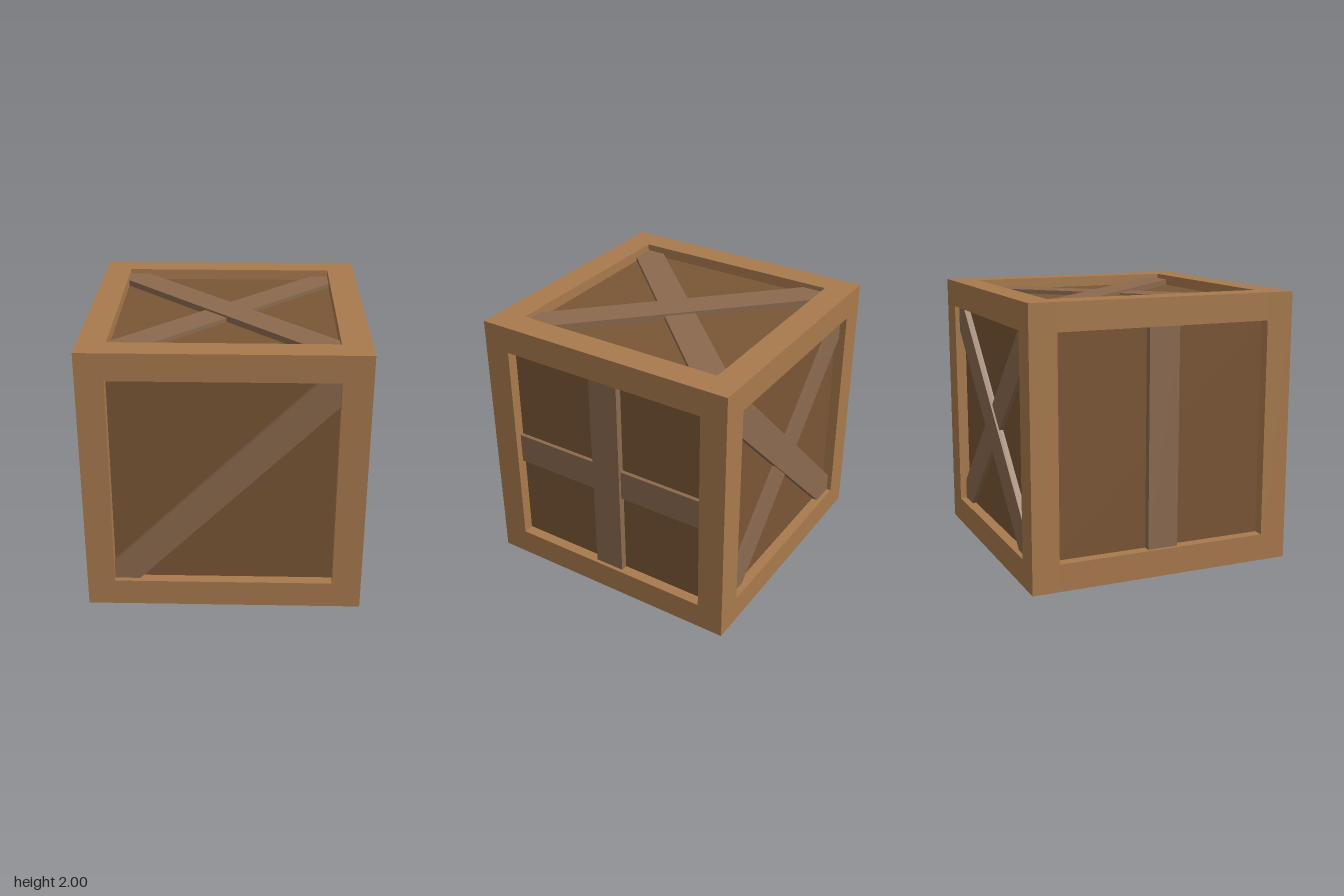
import * as THREE from 'three';

const frameMat = new THREE.MeshStandardMaterial({ color: 0xa87a4d });
const panelMat = new THREE.MeshStandardMaterial({ color: 0x7a5635 });
const braceMat = new THREE.MeshStandardMaterial({ color: 0x8b6a4f });

// Inner edges of the frame openings, and how far the panels are set back
const LOW = -0.8, HIGH_X = 0.79, HIGH = 0.8, RECESS = 0.08;

// Box given by its minimum and maximum on each axis
function boxBetween(name, [x0, x1], [y0, y1], [z0, z1], mat) {
  const mesh = new THREE.Mesh(new THREE.BoxGeometry(x1 - x0, y1 - y0, z1 - z0), mat);
  mesh.position.set((x0 + x1) / 2, (y0 + y1) / 2, (z0 + z1) / 2);
  mesh.name = name;
  return mesh;
}

// Flat board lying on a panel, extruded outward from its outline
function board(name, points, thickness) {
  const shape = new THREE.Shape(points.map(([u, v]) => new THREE.Vector2(u, v)));
  const geo = new THREE.ExtrudeGeometry(shape, { depth: thickness, bevelEnabled: false });
  const mesh = new THREE.Mesh(geo, braceMat);
  mesh.name = name;
  return mesh;
}

// Diagonal board at 45 degrees, trimmed to the opening; slope is 1 or -1
function diagonal(slope, thickness, uMin, uMax, c) {
  const h = 0.163;
  const [a, b] = slope > 0 ? [uMin, uMax] : [-uMax, -uMin];
  const points = [
    [a, LOW], [LOW - c + h, LOW], [b, b + c - h],
    [b, HIGH], [HIGH - c - h, HIGH], [a, a + c + h],
  ];
  return board('diagonalBrace', points.map(([u, v]) => [u * slope, v]), thickness);
}

// Straight board across the opening
function straight(name, u0, u1, v0, v1, thickness) {
  return board(name, [[u0, v0], [u1, v0], [u1, v1], [u0, v1]], thickness);
}

// Group of boards on one side, with local +z pointing out of the crate
function side(name, rx, ry, boards) {
  const g = new THREE.Group();
  g.name = name;
  g.rotation.set(rx, ry, 0);
  g.position.set(0, 0, 1 - RECESS).applyEuler(g.rotation);
  g.position.y += 1;
  g.add(...boards);
  return g;
}

export function createModel() {
  const crate = new THREE.Group();
  crate.name = 'crate';

  // Outer frame: four posts, then rails between them at top and bottom
  const frame = new THREE.Group();
  frame.name = 'frame';
  const xEnds = [[-1, LOW], [HIGH_X, 1]];
  const zEnds = [[-1, LOW], [HIGH, 1]];
  const yEnds = [[0, 0.2], [1.8, 2]];
  for (const x of xEnds) for (const z of zEnds) frame.add(boxBetween('cornerPost', x, [0, 2], z, frameMat));
  for (const y of yEnds) {
    for (const z of zEnds) frame.add(boxBetween('crossRail', [LOW, HIGH_X], y, z, frameMat));
    for (const x of xEnds) frame.add(boxBetween('sideRail', x, y, [LOW, HIGH], frameMat));
  }
  crate.add(frame);

  // Recessed panels on all six sides
  const p = 1 - RECESS;
  crate.add(boxBetween('panels', [-p, p], [1 - p, 1 + p], [-p, p], panelMat));

  // Braces: outer boards are thicker than the ones they cross
  const upright = () => straight('uprightBrace', -0.115, 0.115, LOW, HIGH, 0.052);
  crate.add(
    side('frontBraces', 0, 0, [diagonal(1, 0.042, LOW, HIGH_X, -0.02)]),
    side('backBraces', 0, Math.PI, [
      diagonal(-1, 0.045, -HIGH_X, -LOW, -0.02),
      diagonal(1, 0.03, -HIGH_X, -LOW, -0.02),
    ]),
    side('topBraces', -Math.PI / 2, 0, [
      diagonal(-1, 0.045, LOW, HIGH_X, -0.015),
      diagonal(1, 0.03, LOW, HIGH_X, -0.015),
    ]),
    side('leftBraces', 0, Math.PI / 2, [
      upright(),
      straight('levelBrace', LOW, HIGH, -0.15, 0.08, 0.03),
    ]),
    side('rightBraces', 0, -Math.PI / 2, [upright()]),
  );
  return crate;
}
